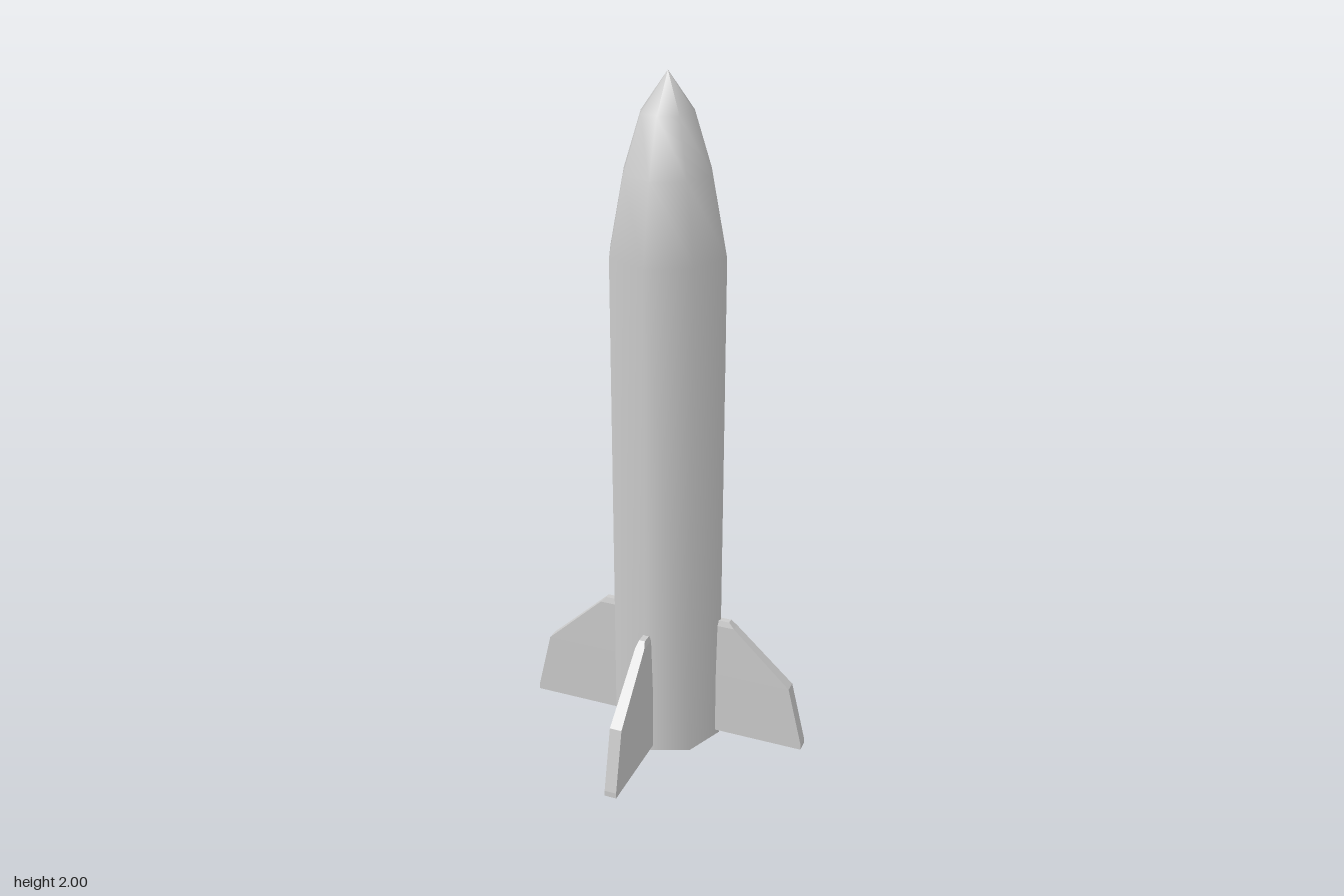
import * as THREE from 'three';

const material = new THREE.MeshStandardMaterial({ color: 0xcccccc });
const flatMaterial = new THREE.MeshStandardMaterial({ color: 0xcccccc, flatShading: true });

const addMesh = (parent, name, geometry, mat) => {
  const mesh = new THREE.Mesh(geometry, mat);
  mesh.name = name;
  parent.add(mesh);
  return mesh;
};

// Fin: a box whose levels are moved to [height, outer reach, half thickness]
function finGeometry() {
  const levels = [
    [0.018, 0.438, 0.018],
    [0.035, 0.438, 0.018],
    [0.22, 0.394, 0.018],
    [0.385, 0.217, 0.014],
    [0.402, 0.2, 0.009],
  ];
  const root = 0.1;
  const steps = levels.length - 1;
  const geometry = new THREE.BoxGeometry(1, 1, 1, 1, steps, 1);
  const p = geometry.attributes.position;
  for (let i = 0; i < p.count; i++) {
    const [y, reach, half] = levels[Math.round((p.getY(i) + 0.5) * steps)];
    const outer = p.getX(i) > 0;
    p.setXYZ(i, outer ? reach : root, y, Math.sign(p.getZ(i)) * half);
  }
  geometry.computeVertexNormals();
  return geometry;
}

export function createModel() {
  const rocket = new THREE.Group();
  rocket.name = 'rocket';
  const sides = 8;
  const radius = 0.171;

  // Eight-sided body running smoothly into the pointed nose
  const profile = [
    [radius, 0],
    [radius, 1.515],
    [0.128, 1.735],
    [0.077, 1.893],
    [0, 2],
  ].map(([x, y]) => new THREE.Vector2(x, y));
  addMesh(rocket, 'bodyAndNose', new THREE.LatheGeometry(profile, sides), material);

  // Flat closed base
  const base = addMesh(rocket, 'base', new THREE.CircleGeometry(radius, sides), material);
  base.rotation.x = Math.PI / 2;

  // Four fins around the tail
  const fin = finGeometry();
  ['leftFin', 'backFin', 'rightFin', 'frontFin'].forEach((name, i) => {
    addMesh(rocket, name, fin, flatMaterial).rotation.y = (i * Math.PI) / 2;
  });

  return rocket;
}
